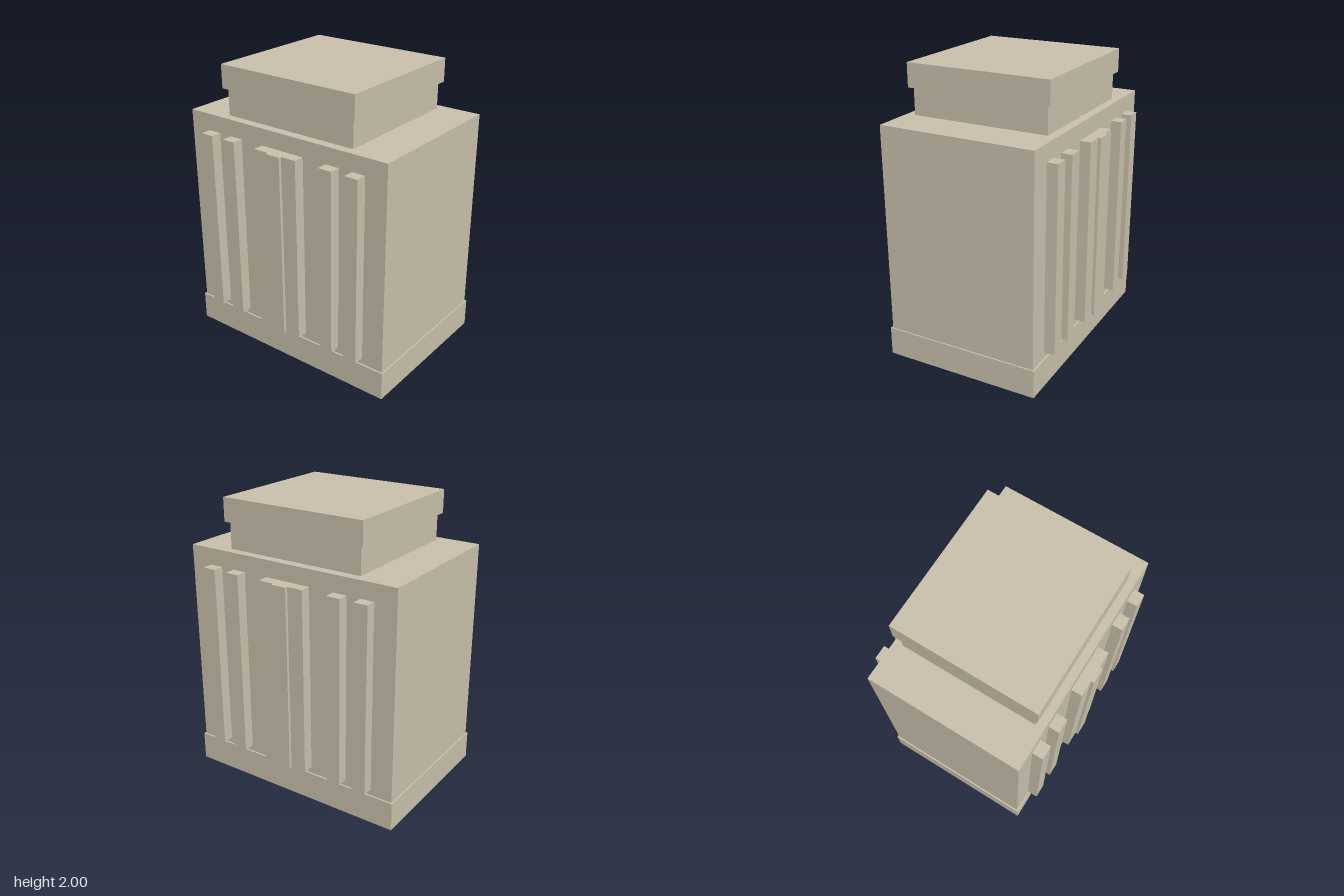
import * as THREE from 'three';

export function createModel() {
  const model = new THREE.Group();
  model.name = 'steppedBlockBuilding';
  const stone = new THREE.MeshStandardMaterial({ color: 0xc8bfaa });
  stone.name = 'paleStone';

  // Box spanning given ranges
  function block(name, x0, x1, y0, y1, z0, z1) {
    const mesh = new THREE.Mesh(new THREE.BoxGeometry(x1 - x0, y1 - y0, z1 - z0), stone);
    mesh.name = name;
    mesh.position.set((x0 + x1) / 2, (y0 + y1) / 2, (z0 + z1) / 2);
    model.add(mesh);
  }

  // Stacked tiers: name, half width, half depth, bottom, top
  const tiers = [
    ['base', 0.807, 0.554, 0, 0.2],
    ['body', 0.797, 0.542, 0.2, 1.652],
    ['neck', 0.506, 0.48, 1.652, 1.837],
    ['cap', 0.533, 0.506, 1.837, 2],
  ];
  for (const [name, w, d, y0, y1] of tiers) block(name, -w, w, y0, y1, -d, d);

  // Vertical ribs on front and back: left edge, right edge, outer depth
  const ribs = [
    [-0.64, -0.543, 0.617],
    [-0.445, -0.347, 0.617],
    [-0.168, -0.056, 0.617],
    [-0.056, 0.056, 0.638],
    [0.056, 0.168, 0.617],
    [0.347, 0.445, 0.617],
    [0.543, 0.64, 0.617],
  ];
  for (const [x0, x1, d] of ribs) {
    block('frontRib', x0, x1, 0.243, 1.536, 0.54, d);
    block('backRib', x0, x1, 0.243, 1.536, -d, -0.54);
  }
  return model;
}
